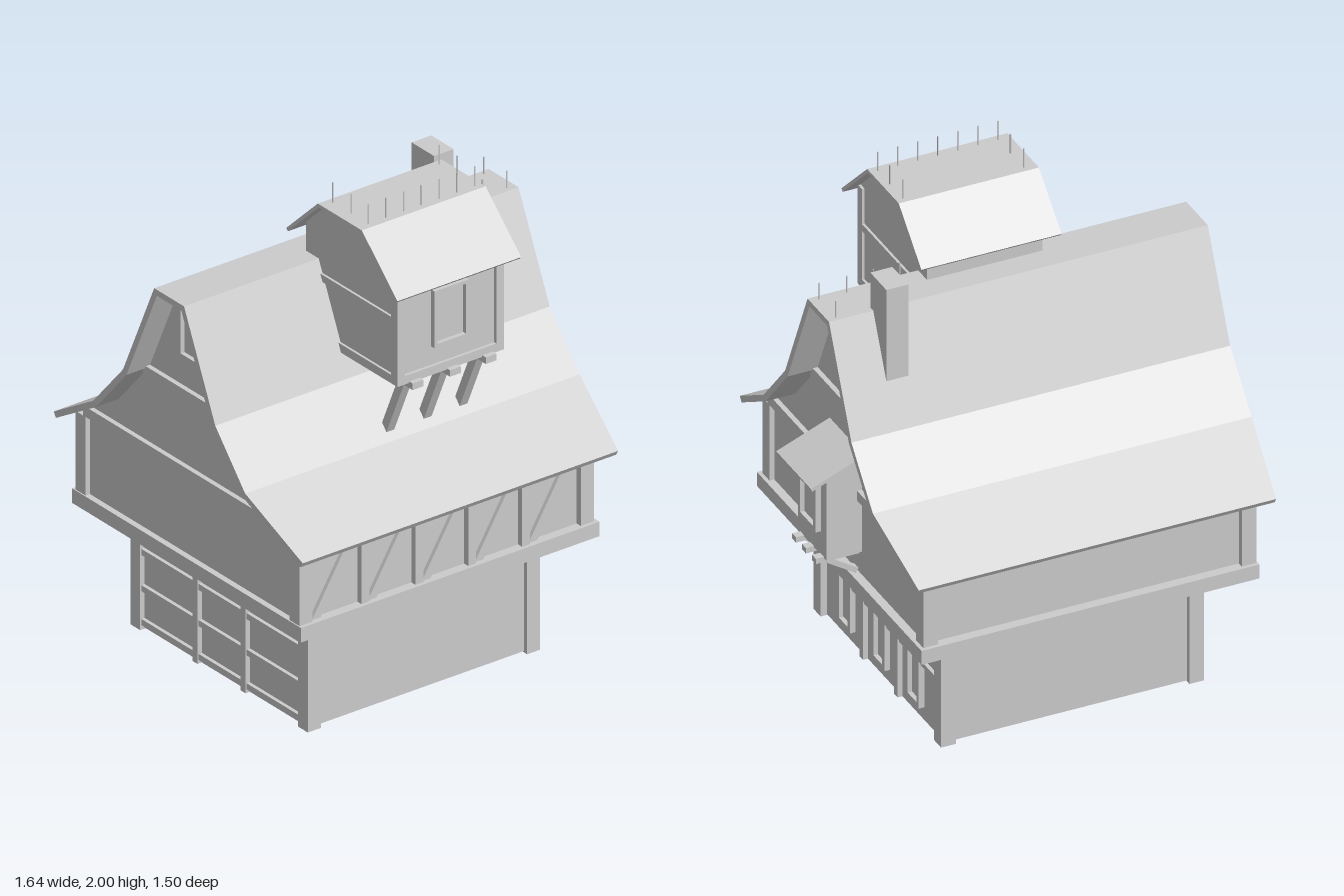
import * as THREE from 'three';

const grey = new THREE.MeshStandardMaterial({ color: 0xcccccc, flatShading: true, side: THREE.DoubleSide });

export function createModel() {
  const model = new THREE.Group();
  model.name = 'timberHouse';

  const add = (name, geometry, parent = model) => {
    const mesh = new THREE.Mesh(geometry, grey);
    mesh.name = name;
    parent.add(mesh);
    return mesh;
  };
  // Box given by its limits on each axis
  const box = (name, x0, x1, y0, y1, z0, z1) =>
    add(name, new THREE.BoxGeometry(x1 - x0, y1 - y0, z1 - z0)
      .translate((x0 + x1) / 2, (y0 + y1) / 2, (z0 + z1) / 2));
  // Square timber running from point a to point b
  const beam = (name, a, b, w, h) => {
    const from = new THREE.Vector3(...a), to = new THREE.Vector3(...b);
    const mesh = add(name, new THREE.BoxGeometry(w, h, from.distanceTo(to)));
    mesh.position.copy(from).lerp(to, 0.5);
    mesh.lookAt(to);
    return mesh;
  };
  // Solid with a [z, y] outline, running along x
  const prism = (outline, x0, x1) => {
    const shape = new THREE.Shape(outline.map(([z, y]) => new THREE.Vector2(-z, y)));
    return new THREE.ExtrudeGeometry(shape, { depth: x1 - x0, bevelEnabled: false })
      .rotateY(Math.PI / 2).translate(x0, 0, 0);
  };
  // Inner side of a roof line that runs from +z to -z
  const inset = (line, t) => line.map(([z, y], i) => {
    const p = line[Math.max(i - 1, 0)], n = line[Math.min(i + 1, line.length - 1)];
    const normal = (a, b) => new THREE.Vector2(b[1] - a[1], a[0] - b[0]).normalize();
    const cur = line[i];
    const n1 = normal(i ? p : cur, i ? cur : n);
    const n2 = normal(i < line.length - 1 ? cur : p, i < line.length - 1 ? n : cur);
    const m = n1.clone().add(n2).normalize();
    const k = t / m.dot(n1);
    return [z - m.x * k, y - m.y * k];
  });
  // Window: frame with a hole and a pane, facing +z until turned
  const windowUnit = (name, w, h, x, y, z, turn = 0, border = 0.018, depth = 0.025) => {
    const group = new THREE.Group();
    group.name = name;
    const rect = (C, a, b) => new C([[-a, -b], [a, -b], [a, b], [-a, b]].map(p => new THREE.Vector2(...p)));
    const frame = rect(THREE.Shape, w / 2, h / 2);
    frame.holes.push(rect(THREE.Path, w / 2 - border, h / 2 - border));
    add('windowFrame', new THREE.ExtrudeGeometry(frame, { depth, bevelEnabled: false }), group);
    add('windowPane', new THREE.BoxGeometry(w - border, h - border, 0.006).translate(0, 0, 0.004), group);
    group.position.set(x, y, z);
    group.rotation.y = turn;
    model.add(group);
  };
  const quarter = Math.PI / 2;

  // Ground floor with corner posts
  box('groundFloorWalls', -0.57, 0.455, 0.005, 0.49, -0.515, 0.515);
  for (const x of [-0.59, 0.42])
    for (const z of [-0.535, 0.475]) box('groundCornerPost', x, x + 0.06, 0, 0.49, z, z + 0.06);
  for (const z of [-0.145, 0.145]) {
    box('gableGroundPost', 0.45, 0.475, 0.005, 0.49, z - 0.015, z + 0.015);
    box('gableGroundPost', -0.59, -0.565, 0.005, 0.49, z - 0.015, z + 0.015);
  }
  // Rail broken by the three windows
  for (const [a, b] of [[-0.475, -0.34], [-0.235, -0.055], [0.055, 0.235], [0.345, 0.475]])
    box('windowRail', 0.45, 0.47, 0.245, 0.265, a, b);
  for (const z of [-0.288, 0, 0.29]) windowUnit('groundWindow', 0.11, 0.37, 0.453, 0.245, z, quarter);
  for (const y of [0.02, 0.16, 0.31, 0.455]) box('groundRail', -0.585, -0.565, y, y + 0.025, -0.475, 0.475);

  // Floor slab
  box('floorSlab', -0.74, 0.635, 0.485, 0.545, -0.69, 0.69);

  // Main roof, whose eaves taper in at both ends
  const roofLine = [[0.75, 0.85], [0.458, 1.03], [0.278, 1.235], [0.09, 1.65],
    [-0.09, 1.65], [-0.278, 1.235], [-0.458, 1.03], [-0.75, 0.85]];
  const roofInner = inset(roofLine, 0.025);
  const roof = prism([...roofLine, ...[...roofInner].reverse()], -0.82, 0.72);
  const rp = roof.attributes.position;
  for (let i = 0; i < rp.count; i++)
    if (Math.abs(rp.getZ(i)) > 0.6) rp.setX(i, rp.getX(i) + (rp.getX(i) > 0 ? -0.045 : 0.042));
  roof.computeVertexNormals();
  add('mainRoof', roof);

  // Upper storey and gables
  add('upperWalls', prism([[0.65, 0.54], [0.65, 0.885], ...roofInner.slice(1, -1), [-0.65, 0.885], [-0.65, 0.54]], -0.715, 0.6));
  for (const x of [-0.735, 0.56])
    for (const z of [-0.675, 0.615]) box('upperCornerPost', x, x + 0.06, 0.54, 0.87, z, z + 0.06);
  for (const x of [-0.735, 0.595]) {
    box('gableLowerBeam', x, x + 0.025, 0.87, 0.912, -0.63, 0.63);
    box('gableUpperBeam', x, x + 0.025, 1.19, 1.232, -0.27, 0.27);
  }
  windowUnit('gableWindow', 0.12, 0.23, 0.595, 1.47, 0, quarter);
  windowUnit('gableWindow', 0.12, 0.23, -0.71, 1.47, 0, -quarter);

  // Front timber framing
  const bays = [-0.69, -0.432, -0.183, 0.06, 0.308];
  bays.forEach((x, i) => {
    if (i) box('frontPost', x - 0.018, x + 0.018, 0.54, 0.87, 0.64, 0.675);
    beam('frontBrace', [x + 0.035, 0.54, 0.655], [x + 0.225, 0.85, 0.655], 0.022, 0.034);
  });

  // Chimney
  box('chimney', 0.45, 0.54, 1.25, 1.8, -0.2, -0.065);

  // Small bay on the right gable, with sloping canopy and brackets
  const bay = new THREE.BoxGeometry(0.16, 0.345, 0.24).translate(0.665, 0.8175, 0);
  const bp = bay.attributes.position;
  for (let i = 0; i < bp.count; i++)
    if (bp.getY(i) > 0.9) bp.setY(i, bp.getX(i) > 0.66 ? 1.0 : 1.06);
  bay.computeVertexNormals();
  add('bayWalls', bay);
  beam('bayCanopy', [0.6, 1.068, 0], [0.818, 0.982, 0], 0.292, 0.014);
  windowUnit('bayWindow', 0.145, 0.22, 0.742, 0.855, 0, quarter);
  for (const z of [-0.083, 0, 0.083]) {
    box('bayFloorBeam', 0.6, 0.778, 0.627, 0.65, z - 0.016, z + 0.016);
    if (z) beam('bayBracket', [0.61, 0.555, z], [0.73, 0.632, z], 0.032, 0.022);
  }

  // Tower room jutting out of the front roof
  const towerLine = [[0.63, 1.715], [0.415, 1.918], [0.15, 1.918], [-0.04, 1.738]];
  const towerInner = inset(towerLine, 0.014);
  add('towerRoof', prism([...towerLine, ...[...towerInner].reverse()], -0.25, 0.32));
  add('towerWalls', prism([[0.565, 1.33], [0.565, 1.76], towerInner[1], towerInner[2], [0.015, 1.772], [0.015, 1.33]], -0.2, 0.27));
  for (const x of [-0.21, 0.245]) box('towerFrontPost', x, x + 0.035, 1.325, 1.75, 0.54, 0.578);
  box('towerSill', -0.21, 0.28, 1.325, 1.36, 0.54, 0.578);
  for (const x of [-0.21, 0.265]) {
    box('towerSideRail', x, x + 0.015, 1.57, 1.6, 0.02, 0.545);
    box('towerSideSill', x, x + 0.015, 1.325, 1.36, 0.1, 0.545);
  }
  windowUnit('towerWindow', 0.16, 0.235, 0.035, 1.553, 0.56, 0, 0.014);
  for (const x of [-0.132, 0.04, 0.205]) {
    box('towerFloorBeam', x - 0.025, x + 0.025, 1.305, 1.332, 0.2, 0.6);
    beam('towerStrut', [x, 1.315, 0.525], [x, 1.04, 0.405], 0.036, 0.036);
  }

  // Ridge spikes
  const spike = (x, y0, y1, z) =>
    add('ridgeSpike', new THREE.CylinderGeometry(0.003, 0.003, y1 - y0, 5).translate(x, (y0 + y1) / 2, z));
  for (let i = 0; i < 7; i++) spike(-0.2 + i * 0.0817, 1.91, 2, 0.388);
  for (const x of [-0.2, 0.29])
    for (const z of [0.285, 0.175]) spike(x, 1.91, 2, z);
  for (const x of [0.357, 0.463, 0.572, 0.683]) spike(x, 1.645, 1.72, 0.067);
  spike(0.683, 1.645, 1.72, -0.07);

  return model;
}
